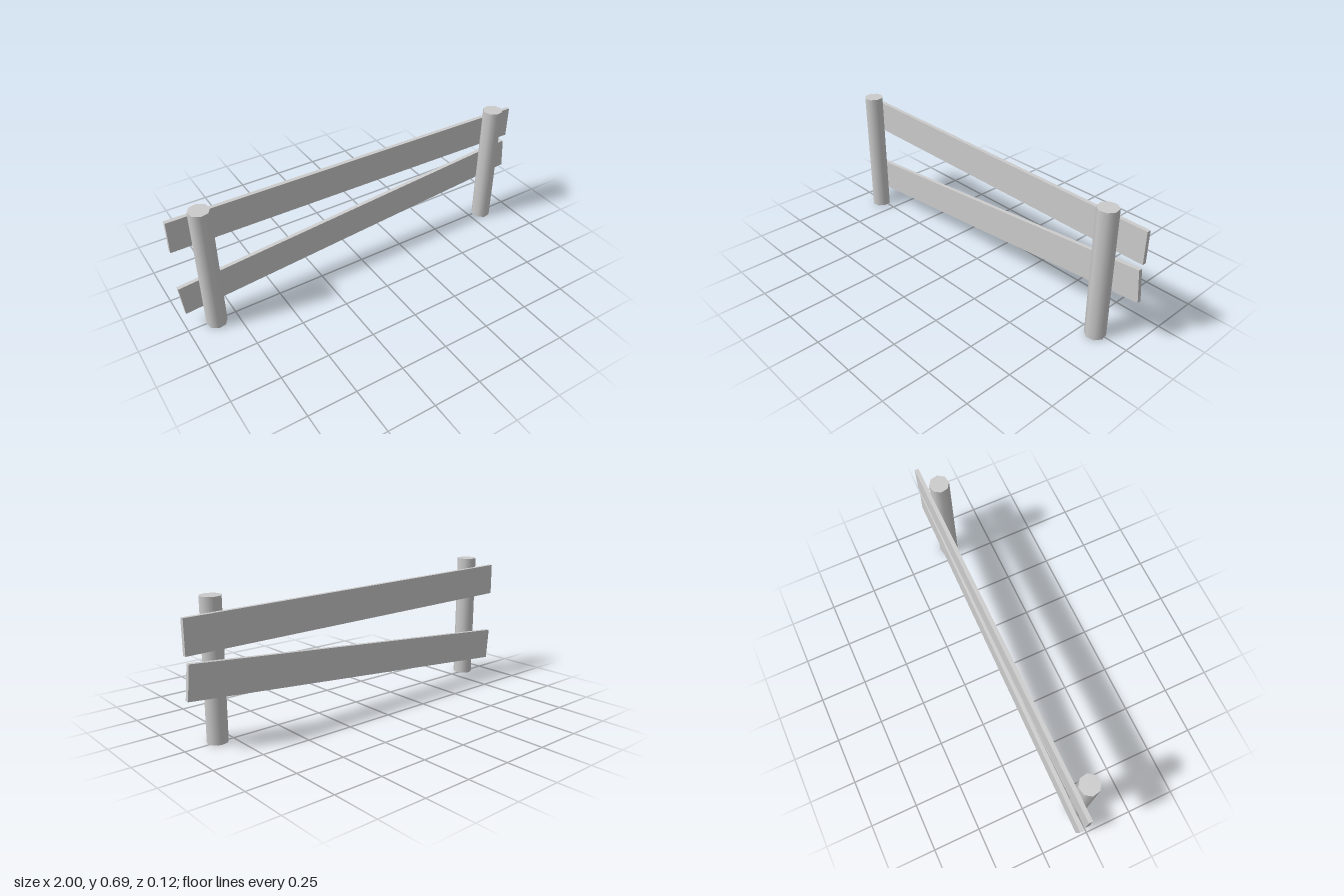
import * as THREE from 'three';

export function createModel() {
  const group = new THREE.Group();
  const grey = new THREE.MeshStandardMaterial({ color: 0xcccccc });
  const greyOpen = new THREE.MeshStandardMaterial({ color: 0xcccccc, side: THREE.DoubleSide });

  const add = (parent, name, geometry, material, x, y, z) => {
    const mesh = new THREE.Mesh(geometry, material);
    mesh.name = name;
    mesh.position.set(x, y, z);
    parent.add(mesh);
    return mesh;
  };

  // Eight-sided posts, slightly turned, capped on top and open underneath
  const height = 0.686, radius = 0.052, turn = THREE.MathUtils.degToRad(33);
  const shaft = new THREE.CylinderGeometry(radius, radius, height, 8, 1, true, turn);
  const cap = new THREE.CircleGeometry(radius, 8).rotateX(-Math.PI / 2).rotateY(turn - Math.PI / 2);
  for (const [name, x] of [['rightPost', -0.855], ['leftPost', 0.827]]) {
    const post = new THREE.Group();
    post.name = name;
    post.position.set(x, 0, 0.011);
    add(post, 'postShaft', shaft, greyOpen, 0, height / 2, 0);
    add(post, 'postTop', cap, grey, 0, height, 0);
    group.add(post);
  }

  // Crooked boards across the back of the posts
  for (const [name, length, y, tilt] of [
    ['upperBoard', 1.998, 0.545, -0.0085],
    ['lowerBoard', 1.992, 0.2465, 0.0874],
  ]) {
    const board = new THREE.BoxGeometry(length, 0.168, 0.021);
    add(group, name, board, grey, 0, y, -0.0505).rotation.z = tilt;
  }

  return group;
}
